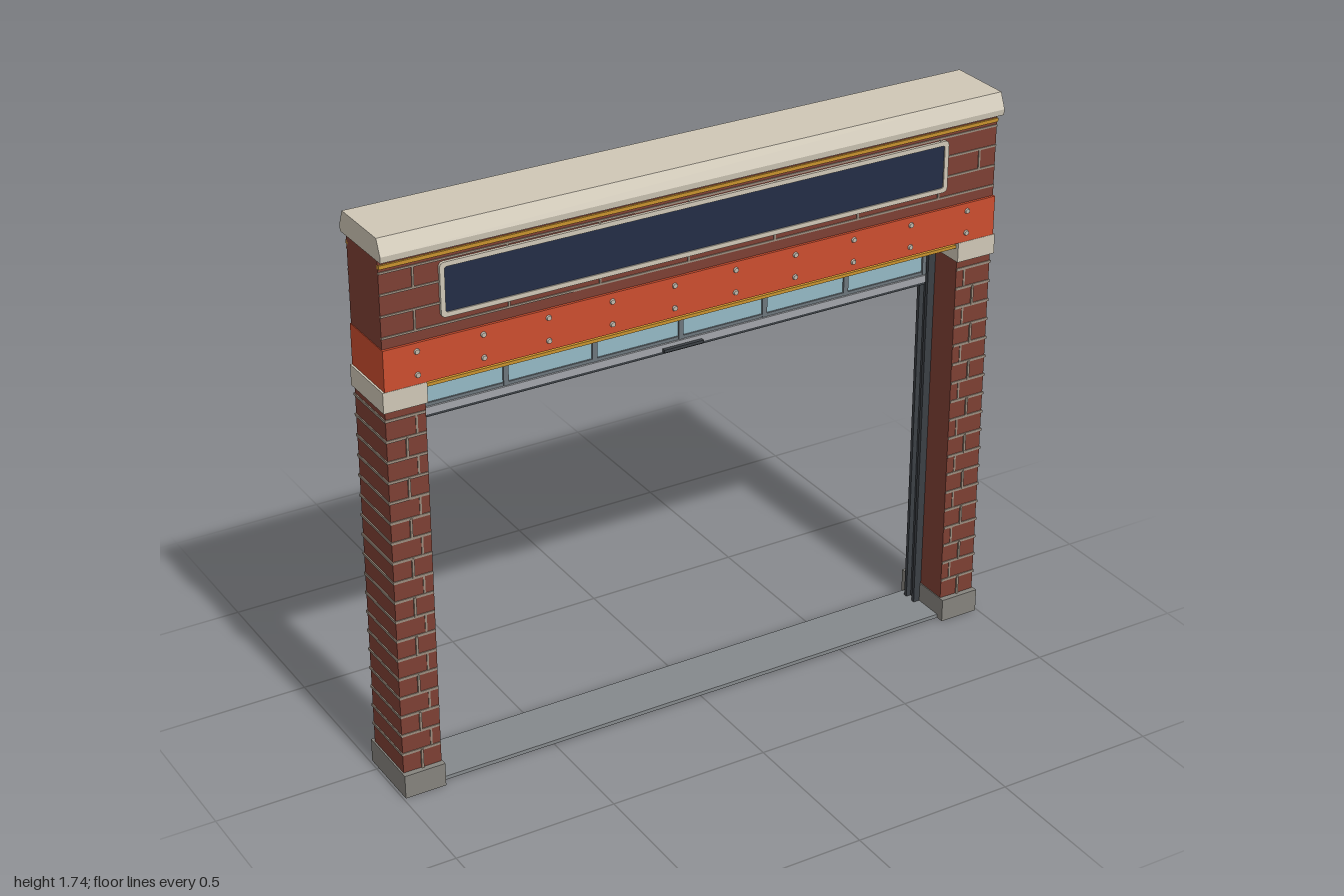
import * as THREE from 'three';

const mat = (color) => new THREE.MeshStandardMaterial({ color });
const M = {
  brick: mat(0x7d3f33), mortar: mat(0x9a8b7c), stone: mat(0xcfc7b6), base: mat(0x85837d),
  beam: mat(0xcb4d2f), rivet: mat(0xc0b8ac), dark: mat(0x3b3f44), gold: mat(0xc8922e),
  navy: mat(0x232c45), glass: mat(0x94b8c4), frame: mat(0x6c757b), steel: mat(0xa2a5aa), sill: mat(0x85898c),
};

export function createModel() {
  const root = new THREE.Group();
  const group = (name) => {
    const g = new THREE.Group();
    g.name = name;
    root.add(g);
    return g;
  };
  // box given by its minimum and maximum on each axis
  const box = (parent, name, m, x0, x1, y0, y1, z0, z1) => {
    const mesh = new THREE.Mesh(new THREE.BoxGeometry(Math.abs(x1 - x0), y1 - y0, z1 - z0), m);
    mesh.position.set((x0 + x1) / 2, (y0 + y1) / 2, (z0 + z1) / 2);
    mesh.name = name;
    parent.add(mesh);
    return mesh;
  };
  const ZF = 0.157, ZB = -0.03, COURSE = 0.0625;

  // brick pillars with stone feet and caps, and the channel rails beside them
  for (const s of [1, -1]) {
    const side = s > 0 ? 'left' : 'right';
    const p = group(side + 'Pillar');
    box(p, 'pillarBase', M.base, s * 0.865, s * 0.993, 0, 0.075, -0.045, 0.175);
    box(p, 'pillarShaft', M.brick, s * 0.868, s * 0.988, 0.075, 1.228, ZB, ZF);
    box(p, 'pillarCap', M.stone, s * 0.865, s * 0.996, 1.228, 1.29, -0.034, 0.166);
    for (let i = 1; i <= 18; i++) {
      const y = 0.075 + i * COURSE;
      box(p, 'bedJoint', M.mortar, s * 0.869, s * 0.991, y - 0.004, y + 0.004, ZB - 0.003, ZF + 0.003);
      if (i % 2 === 1) {
        for (const z of [ZF, ZB])
          box(p, 'headJoint', M.mortar, s * 0.925, s * 0.932, y - COURSE, y, z - 0.005, z + 0.005);
      } else {
        for (const z of [ZF, ZB])
          box(p, 'headJoint', M.mortar, s * 0.894, s * 0.9, y - COURSE, y, z - 0.002, z + 0.002);
      }
    }
    const r = group(side + 'Rail');
    box(r, 'railWeb', M.dark, s * 0.86, s * 0.868, 0.01, 1.29, 0, 0.052);
    for (const z of [0, 0.04])
      box(r, 'railFlange', M.dark, s * 0.844, s * 0.862, 0.01, 1.29, z, z + 0.012);
  }
  box(root, 'threshold', M.sill, -0.868, 0.868, 0, 0.012, -0.025, 0.15);

  // riveted steel beam
  const beam = group('beam');
  box(beam, 'beamBody', M.beam, -0.99, 0.99, 1.29, 1.412, -0.033, 0.165);
  const rivet = new THREE.CylinderGeometry(0.007, 0.009, 0.006, 10).rotateX(Math.PI / 2);
  for (let i = 0; i < 10; i++) for (const y of [1.318, 1.387]) {
    const m = new THREE.Mesh(rivet, M.rivet);
    m.position.set(-0.891 + i * 0.198, y, 0.167);
    m.name = 'rivet';
    beam.add(m);
  }
  for (const z of [0.147, -0.029])
    box(beam, 'beamTrim', M.gold, -0.865, 0.865, 1.27, 1.28, z, z + 0.008);

  // upper brick wall in running bond
  const wall = group('upperWall');
  box(wall, 'wallBody', M.brick, -0.988, 0.988, 1.412, 1.675, ZB, ZF);
  for (const z of [ZF, ZB]) {
    for (let k = 0; k < 4; k++) {
      const y = 1.445 + k * COURSE;
      box(wall, 'bedJoint', M.mortar, -0.988, 0.988, y - 0.003, y + 0.003, z - 0.003, z + 0.003);
      if (k === 3) continue;
      for (let j = 0; j < 8; j++) {
        const x = 0.93 - j * 0.28 - (k % 2 ? 0 : 0.14);
        if (x > -0.98)
          box(wall, 'headJoint', M.mortar, x - 0.003, x + 0.003, y, y + COURSE, z - 0.003, z + 0.003);
      }
    }
    box(wall, 'wallTrim', M.gold, -0.988, 0.988, 1.645, 1.656, z - 0.006, z + 0.006);
  }

  // blank sign panel in a rounded frame
  const rounded = (T, w, h, r) => {
    const s = new T();
    s.moveTo(-w + r, -h);
    s.lineTo(w - r, -h).quadraticCurveTo(w, -h, w, -h + r);
    s.lineTo(w, h - r).quadraticCurveTo(w, h, w - r, h);
    s.lineTo(-w + r, h).quadraticCurveTo(-w, h, -w, h - r);
    s.lineTo(-w, -h + r).quadraticCurveTo(-w, -h, -w + r, -h);
    return s;
  };
  const sign = group('signPanel');
  sign.position.set(0, 1.545, 0.15);
  const rim = rounded(THREE.Shape, 0.815, 0.08, 0.015);
  rim.holes.push(rounded(THREE.Path, 0.801, 0.066, 0.008));
  const rimMesh = new THREE.Mesh(new THREE.ExtrudeGeometry(rim, { depth: 0.016, bevelEnabled: false, curveSegments: 4 }), M.stone);
  rimMesh.name = 'signFrame';
  sign.add(rimMesh);
  box(sign, 'signFace', M.navy, -0.803, 0.803, -0.068, 0.068, 0, 0.012);

  // sloped coping stone along the top
  const cop = new THREE.Shape();
  [[0.183, 1.672], [0.185, 1.69], [0.165, 1.737], [-0.04, 1.737], [-0.06, 1.69], [-0.058, 1.672]]
    .forEach(([z, y], i) => (i ? cop.lineTo(-z, y) : cop.moveTo(-z, y)));
  const copGeo = new THREE.ExtrudeGeometry(cop, { depth: 1.984, bevelEnabled: false });
  copGeo.translate(0, 0, -0.992).rotateY(Math.PI / 2);
  // shape x is -z, so a quarter turn lays the length along x
  const coping = new THREE.Mesh(copGeo, M.stone);
  coping.name = 'coping';
  root.add(coping);

  // shutter drum with square end plates at the back
  const drum = group('shutterDrum');
  const roll = new THREE.Mesh(new THREE.CylinderGeometry(0.074, 0.074, 1.71, 32), M.dark);
  roll.rotation.z = Math.PI / 2;
  roll.position.set(0, 1.36, -0.107);
  roll.name = 'drumRoll';
  drum.add(roll);
  for (const s of [1, -1])
    box(drum, 'drumEndPlate', M.dark, s * 0.853, s * 0.866, 1.282, 1.44, -0.183, -0.03);

  // lowered edge of the glazed shutter
  const shutter = group('shutter');
  box(shutter, 'glazing', M.glass, -0.845, 0.845, 1.135, 1.29, 0.021, 0.029);
  for (let i = 0; i <= 6; i++) {
    const x = -0.843 + i * 0.281;
    box(shutter, 'upright', M.frame, x - 0.008, x + 0.008, 1.135, 1.29, 0.015, 0.035);
  }
  for (const y of [1.146, 1.224, 1.284])
    box(shutter, 'crossBar', M.frame, -0.845, 0.845, y - 0.006, y + 0.006, 0.016, 0.034);
  box(shutter, 'bottomBar', M.steel, -0.845, 0.845, 1.12, 1.142, 0.01, 0.04);
  box(shutter, 'bottomSeal', M.dark, -0.845, 0.845, 1.111, 1.121, 0.013, 0.037);
  box(shutter, 'handle', M.dark, -0.065, 0.065, 1.121, 1.13, 0.035, 0.052);

  return root;
}
